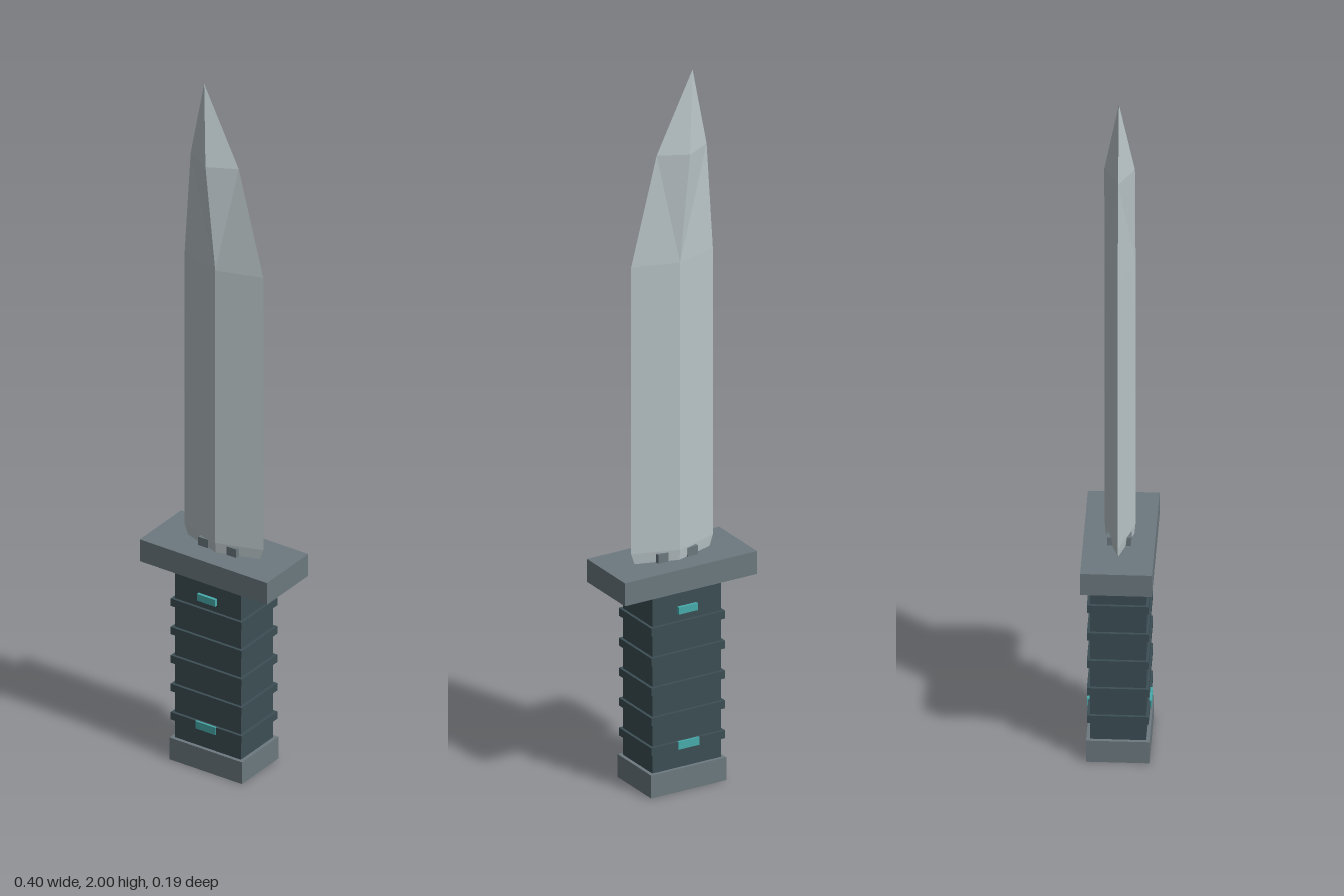
import * as THREE from 'three';

const mat = (name, color) => {
  const m = new THREE.MeshStandardMaterial({ color });
  m.name = name;
  return m;
};

export function createModel() {
  const steel = mat('blade steel', 0xb9c4c7);
  const gunmetal = mat('gunmetal', 0x6c797f);
  const gripMat = mat('dark grip', 0x3c4e54);
  const teal = mat('teal accent', 0x48acac);
  const knife = new THREE.Group();
  knife.name = 'knife';

  // box given by width, depth, and bottom and top heights
  const box = (name, material, w, d, y0, y1, x = 0, z = 0) => {
    const mesh = new THREE.Mesh(new THREE.BoxGeometry(w, y1 - y0, d), material);
    mesh.position.set(x, (y0 + y1) / 2, z);
    mesh.name = name;
    knife.add(mesh);
  };

  // handle
  box('pommel', gunmetal, 0.23, 0.166, 0, 0.065);
  box('grip', gripMat, 0.21, 0.146, 0.065, 0.57);
  box('guard', gunmetal, 0.404, 0.188, 0.57, 0.635);
  for (let i = 0; i < 5; i++) {
    const y = 0.13 + i * 0.085;
    box('gripRib', gripMat, 0.226, 0.162, y - 0.011, y + 0.011);
  }

  // accent plates on both faces of the grip
  for (const s of [1, -1]) {
    box('upperAccent', teal, 0.058, 0.009, 0.502, 0.522, 0, s * 0.077);
    box('lowerAccent', teal, 0.064, 0.006, 0.12, 0.142, 0, s * 0.0815);
  }

  // small blade clamps on the guard
  for (const s of [1, -1]) box('bladeClamp', gunmetal, 0.031, 0.062, 0.635, 0.66, s * 0.045);

  // diamond cross-sections: y, left edge, ridge x, right edge, ridge z
  const sections = [
    [0.635, -0.115, 0, 0.115, 0.037],
    [0.665, -0.125, 0, 0.125, 0.04],
    [1.48, -0.125, 0, 0.125, 0.04],
    [1.78, -0.106, -0.031, 0.047, 0.04],
  ];
  const rings = sections.map(([y, l, m, r, z]) => [[l, y, 0], [m, y, z], [r, y, 0], [m, y, -z]]);
  const tip = [-0.063, 2, 0];
  const pos = [];
  const tri = (a, b, c) => pos.push(...a, ...b, ...c);
  for (let k = 0; k < 4; k++) {
    const n = (k + 1) % 4;
    for (let i = 0; i < rings.length - 1; i++) {
      const a = rings[i][k], b = rings[i][n], c = rings[i + 1][n], d = rings[i + 1][k];
      // the diagonal always runs from the lower ridge to the upper edge
      if (k % 2) { tri(a, b, c); tri(a, c, d); } else { tri(a, b, d); tri(b, c, d); }
      if (k === 1 || k === 3) continue;
    }
    tri(rings[3][k], rings[3][n], tip);
  }
  const [p, q, r, s] = rings[0];
  tri(p, s, r);
  tri(p, r, q);
  const geo = new THREE.BufferGeometry();
  geo.setAttribute('position', new THREE.Float32BufferAttribute(pos, 3));
  geo.computeVertexNormals();
  const blade = new THREE.Mesh(geo, steel);
  blade.name = 'blade';
  knife.add(blade);

  return knife;
}
